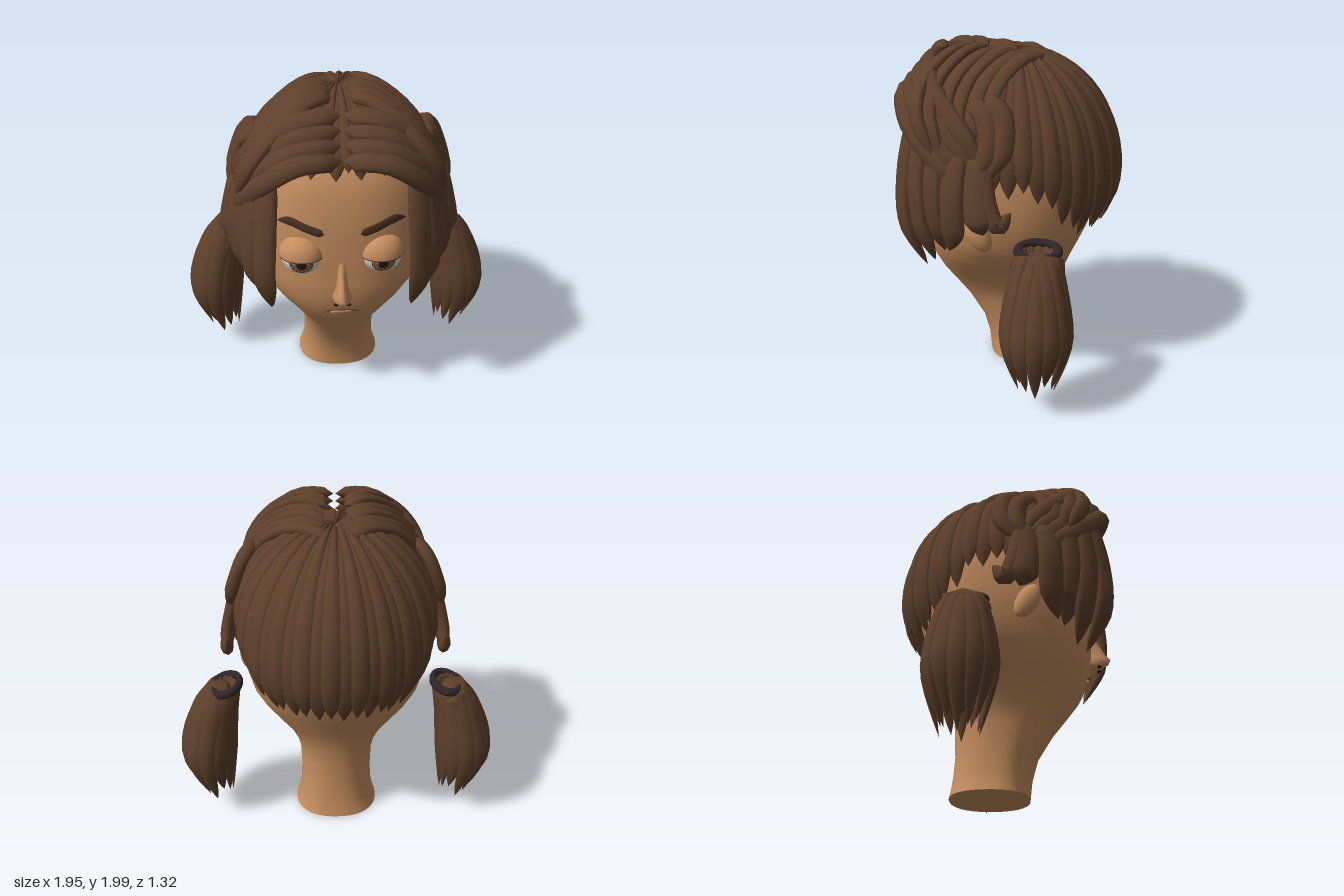
import * as THREE from 'three';
import { mergeGeometries } from 'three/addons/utils/BufferGeometryUtils.js';

const V = (x, y, z) => new THREE.Vector3(x, y, z);
const material = (name, color) => {
  const m = new THREE.MeshStandardMaterial({ color });
  m.name = name;
  return m;
};

// Closed skin over rows of points, each row running counter-clockwise about the travel direction
function loft(rows) {
  const n = rows[0].length, index = [];
  for (let i = 0; i < rows.length - 1; i++) {
    for (let j = 0; j < n; j++) {
      const k = (j + 1) % n, a = i * n + j, b = i * n + k;
      index.push(a, b, a + n, b, b + n, a + n);
    }
  }
  const geo = new THREE.BufferGeometry().setFromPoints(rows.flat());
  geo.setIndex(index);
  geo.computeVertexNormals();
  return geo;
}

// Flattened tapering lock of hair along a curve, its flat side facing away from the head
const CENTRE = V(0, 1.25, -0.03);
function lock(points, width, thick, { out = null, tip = 0.3, steps = 14 } = {}) {
  const curve = new THREE.CatmullRomCurve3(points), rows = [];
  for (let i = 0; i <= steps; i++) {
    const t = i / steps, p = curve.getPoint(t), dir = curve.getTangent(t);
    const normal = out ? out.clone() : p.clone().sub(CENTRE);
    normal.addScaledVector(dir, -normal.dot(dir)).normalize();
    const side = normal.clone().cross(dir);
    const f = Math.min(1, Math.sqrt(t / 0.08), Math.pow((1 - t) / tip, 0.7));
    const w = f * (typeof width === 'function' ? width(t) : width);
    rows.push(Array.from({ length: 8 }, (_, j) => {
      const a = j * Math.PI / 4;
      return p.clone().addScaledVector(side, w * Math.cos(a)).addScaledVector(normal, f * thick * Math.sin(a));
    }));
  }
  return loft(rows);
}

// Head sections: height, half width, front z, back z
const SECTIONS = [
  [0, 0.26, 0.125, -0.34], [0.05, 0.243, 0.13, -0.33], [0.12, 0.228, 0.138, -0.32],
  [0.25, 0.222, 0.175, -0.31], [0.4, 0.23, 0.27, -0.315], [0.5, 0.258, 0.35, -0.325],
  [0.6, 0.318, 0.425, -0.345], [0.7, 0.4, 0.475, -0.385], [0.8, 0.472, 0.5, -0.43],
  [0.9, 0.52, 0.507, -0.475], [1.05, 0.55, 0.507, -0.53], [1.25, 0.56, 0.51, -0.57],
  [1.45, 0.54, 0.495, -0.56], [1.6, 0.48, 0.45, -0.5], [1.72, 0.37, 0.35, -0.39],
  [1.82, 0.2, 0.18, -0.22], [1.86, 0.001, -0.02, -0.022],
];
const POW = 2.3;

// Depth of the face surface at a given spot
function faceZ(x, y) {
  const i = Math.max(1, SECTIONS.findIndex(s => s[0] >= y));
  const a = SECTIONS[i - 1], b = SECTIONS[i], u = (y - a[0]) / (b[0] - a[0]);
  const [, hw, zf, zb] = a.map((v, k) => v + (b[k] - v) * u);
  const r = Math.max(0, 1 - Math.pow(Math.abs(x) / hw, POW));
  return (zf + zb) / 2 + (zf - zb) / 2 * Math.pow(r, 1 / POW);
}

function headGeometry() {
  const bend = v => Math.sign(v) * Math.pow(Math.abs(v), 2 / POW);
  const rows = SECTIONS.map(([y, hw, zf, zb]) => Array.from({ length: 48 }, (_, j) => {
    const a = j * Math.PI / 24;
    return V(hw * bend(Math.cos(a)), y, (zf + zb) / 2 - (zf - zb) / 2 * bend(Math.sin(a)));
  }));
  const base = rows[0].map(p => p.clone());
  return loft([base.map(() => V(0, 0, -0.11)), base, ...rows]);
}

function noseGeometry() {
  const profile = [[0.785, 0.03, 0.5], [0.805, 0.058, 0.57], [0.83, 0.06, 0.61], [0.86, 0.048, 0.622],
    [0.9, 0.036, 0.59], [0.97, 0.03, 0.55], [1.04, 0.03, 0.515], [1.1, 0.025, 0.49]];
  return loft(profile.map(([y, hw, tip]) => Array.from({ length: 16 }, (_, j) => {
    const a = j * Math.PI / 8;
    return V(hw * Math.cos(a), y, 0.47 - (tip - 0.47) * Math.sin(a));
  })));
}

// Height of the hairline by angle from the front (0) to the back (PI)
function hairline(a) {
  const mix = THREE.MathUtils.smoothstep;
  return 1.62 - 0.37 * mix(a, 0.6, 1.1) - 0.3 * mix(a, 1.7, 2.4);
}

// Locks fanning from the crown down to the hairline
function scalpLocks() {
  const N = 46, list = [];
  for (let k = 0; k < N; k++) {
    const phi = (k + 0.5) / N * Math.PI * 2, fold = Math.min(phi, Math.PI * 2 - phi);
    const end = Math.acos((hairline(fold) - (k % 2) * 0.04 - 1.25) / 0.69);
    const r = k % 2 ? 0.965 : 0.985, pts = [];
    for (let i = 0; i <= 8; i++) {
      const th = 0.03 + (end - 0.03) * i / 8;
      pts.push(V(0.6 * r * Math.sin(th) * Math.sin(phi), 1.25 + 0.69 * r * Math.cos(th),
        -0.03 + 0.62 * r * Math.sin(th) * Math.cos(phi)));
    }
    const width = t => 0.6 * Math.sin(0.03 + (end - 0.03) * t) * Math.PI / N * 1.4 + 0.004;
    list.push(lock(pts, width, 0.03, { tip: 0.14, steps: 18 }));
  }
  return list;
}

// Front bands swept from the parting out to the temples
function frontBands(s) {
  return [0, 1, 2, 3].map(i => {
    const t = i / 3;
    return lock([V(0.005 * s, 1.72 + 0.2 * t, 0.55 - 0.14 * t), V(0.22 * s, 1.73 + 0.17 * t, 0.6 - 0.15 * t),
      V(0.42 * s, 1.59 + 0.18 * t, 0.54 - 0.15 * t), V(0.55 * s, 1.41 + 0.17 * t, 0.37 - 0.14 * t),
      V(0.61 * s, 1.27 + 0.12 * t, 0.2 - 0.1 * t)], 0.06, 0.04, { tip: 0.2 });
  });
}

// Chevron strands arching over the top of the head
function topStrands(s) {
  const list = [];
  for (let j = 0; j < 3; j++) for (let k = 0; k < 2; k++) {
    const d = 0.17 * j + 0.08 * k;
    list.push(lock([V(0.05 * s, 1.9 + 0.025 * j, -0.2 + d), V(0.18 * s, 1.92 + 0.015 * j, -0.1 + d),
      V(0.36 * s, 1.83, 0.03 + d), V(0.5 * s, 1.66, 0.1 + d * 0.9), V(0.58 * s, 1.45, 0.13 + 0.6 * d)],
    0.05, 0.03, { tip: 0.15 }));
  }
  return list;
}

// Locks framing the face and covering the ears: path, half width
const SIDE_LOCKS = [
  [[[0.4, 1.64, 0.5], [0.42, 1.3, 0.57], [0.435, 1, 0.57], [0.41, 0.73, 0.46]], 0.075],
  [[[0.45, 1.6, 0.46], [0.5, 1.25, 0.49], [0.5, 1, 0.47], [0.43, 0.77, 0.41]], 0.08],
  [[[0.5, 1.55, 0.38], [0.55, 1.25, 0.4], [0.54, 1.05, 0.39], [0.49, 0.86, 0.34]], 0.085],
  [[[0.55, 1.5, 0.25], [0.61, 1.25, 0.28], [0.6, 1.05, 0.28], [0.54, 0.88, 0.31]], 0.08],
  [[[0.59, 1.47, 0.12], [0.64, 1.28, 0.14], [0.67, 1.12, 0.13], [0.66, 1.03, 0.1]], 0.08],
  [[[0.6, 1.45, 0.1], [0.655, 1.22, 0.08], [0.67, 1.09, 0.02], [0.66, 1.17, -0.05]], 0.055],
  [[[0.48, 1.74, 0.1], [0.54, 1.68, 0.01], [0.61, 1.5, 0], [0.64, 1.33, 0.1]], 0.06],
  [[[0.46, 1.72, 0.18], [0.54, 1.66, 0.1], [0.61, 1.48, 0.08], [0.63, 1.33, 0.17]], 0.06],
];
const sideLocks = s => SIDE_LOCKS.map(([pts, w]) =>
  lock(pts.map(([x, y, z]) => V(x * s, y, z)), w, 0.04, { tip: 0.28 }));

// Pigtail strands bulging out below the tie
function pigtail(s) {
  const list = [lock([V(0.66 * s, 0.95, -0.2), V(0.75 * s, 0.78, -0.2), V(0.8 * s, 0.5, -0.2), V(0.77 * s, 0.24, -0.2)],
    0.15, 0.11, { out: V(s, 0, 0) })];
  for (let k = 0; k < 12; k++) {
    const a = k / 12 * Math.PI * 2, c = Math.cos(a), n = Math.sin(a);
    list.push(lock([V((0.665 + 0.06 * c) * s, 0.96, -0.2 + 0.08 * n), V((0.74 + 0.11 * c) * s, 0.8, -0.2 + 0.13 * n),
      V((0.8 + 0.145 * c) * s, 0.48, -0.2 + 0.175 * n), V((0.765 + 0.09 * c) * s, 0.13 + 0.035 * (k % 3), -0.2 + 0.1 * n)],
    0.062, 0.032, { out: V(c * s, 0, n), tip: 0.35 }));
  }
  return list;
}

export function createModel() {
  const skin = material('skin', 0xc68e5f), hair = material('hair', 0x5e402b), brow = material('brow', 0x4a3022);
  const white = material('eyeWhite', 0xd9d6ce), iris = material('iris', 0xa9714a), dark = material('pupil', 0x21171a);
  const band = material('hairTie', 0x2f2529), lip = material('mouthLine', 0x6f452c);
  const model = new THREE.Group();
  const add = (name, geo, mat, parent = model) => {
    const mesh = new THREE.Mesh(Array.isArray(geo) ? mergeGeometries(geo) : geo, mat);
    mesh.name = name;
    parent.add(mesh);
    return mesh;
  };
  const onFace = (pts, lift) => pts.map(([x, y]) => V(x, y, faceZ(x, y) + lift));

  add('headAndNeck', headGeometry(), skin);
  add('nose', noseGeometry(), skin);
  add('lowerLip', lock(onFace([[-0.07, 0.69], [0, 0.7], [0.07, 0.69]], 0), 0.022, 0.014), skin);
  add('mouth', lock(onFace([[-0.11, 0.69], [-0.06, 0.718], [0, 0.722], [0.06, 0.718], [0.11, 0.69]], 0.01), 0.007, 0.005), lip);
  add('scalpHair', scalpLocks(), hair);

  for (const s of [1, -1]) {
    const label = s > 0 ? 'left' : 'right';
    add(label + 'Brow', lock(onFace([[0.1, 1.25], [0.2, 1.283], [0.29, 1.313], [0.36, 1.3]].map(([x, y]) => [x * s, y]), 0.008),
      0.026, 0.008), brow);
    add(label + 'Nostril', new THREE.SphereGeometry(0.014, 10, 8).scale(1.2, 0.6, 1).translate(0.034 * s, 0.803, 0.552), dark);
    add(label + 'Ear', new THREE.SphereGeometry(1, 16, 12).scale(0.045, 0.11, 0.065).rotateX(0.5).translate(0.56 * s, 0.99, 0.14), skin);

    // Eye with a heavy upper lid
    const eye = new THREE.Group();
    eye.name = label + 'Eye';
    eye.position.set(0.23 * s, 1.092, 0.45);
    eye.rotation.y = 0.25 * s;
    eye.scale.z = 0.8;
    model.add(eye);
    add('eyeball', new THREE.SphereGeometry(0.12, 28, 20), white, eye);
    add('upperLid', new THREE.SphereGeometry(0.129, 28, 12, 0, Math.PI * 2, 0, Math.PI / 2), skin, eye);
    add('lidEdge', new THREE.TorusGeometry(0.125, 0.005, 6, 32).rotateX(Math.PI / 2), brow, eye);
    add('lowerLid', new THREE.TorusGeometry(0.121, 0.015, 8, 24, Math.PI).rotateZ(Math.PI), skin, eye);
    const gaze = new THREE.Group();
    gaze.name = 'gaze';
    gaze.rotation.set(0.17, -0.2 * s, 0);
    eye.add(gaze);
    const disc = (r, from, to, p0 = 0, pl = Math.PI * 2) =>
      new THREE.SphereGeometry(r, pl > 1 ? 24 : 2, 4, p0, pl, from, to - from).rotateX(Math.PI / 2);
    add('irisRim', disc(0.121, 0, 0.58), dark, gaze);
    add('iris', disc(0.1222, 0, 0.53), iris, gaze);
    add('irisSpokes', Array.from({ length: 14 }, (_, k) => disc(0.123, 0.22, 0.5, k * Math.PI / 7, 0.12)), brow, gaze);
    add('pupil', disc(0.1238, 0, 0.24), dark, gaze);

    add(label + 'FrontBands', frontBands(s), hair);
    add(label + 'TopStrands', topStrands(s), hair);
    add(label + 'SideLocks', sideLocks(s), hair);
    add(label + 'Pigtail', pigtail(s), hair);
    const tie = add(label + 'HairTie', new THREE.TorusGeometry(0.105, 0.026, 10, 28).rotateX(Math.PI / 2), band);
    tie.scale.set(0.8, 1, 1.05);
    tie.position.set(0.665 * s, 0.95, -0.2);
    tie.rotation.z = -0.2 * s;
  }
  return model;
}
